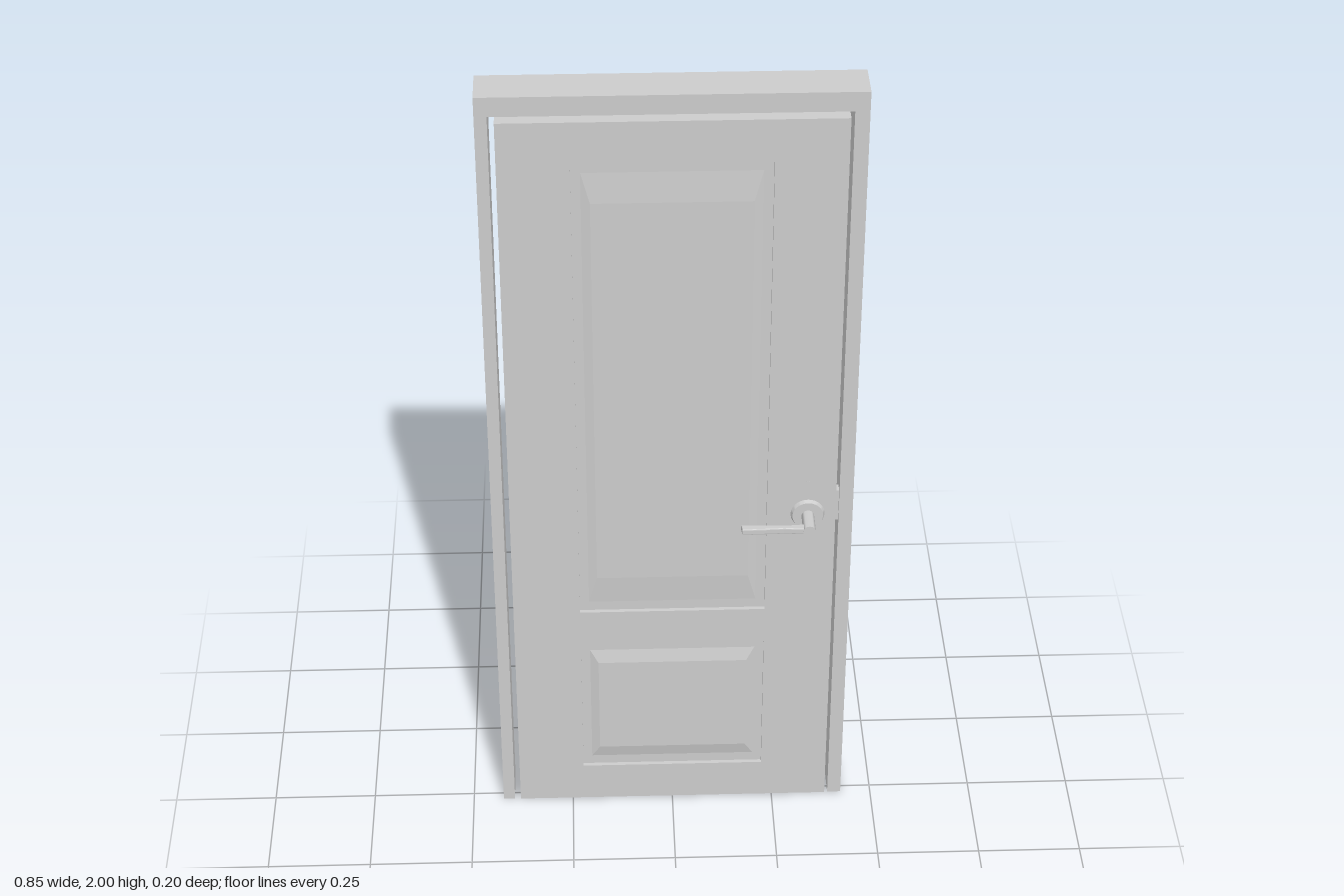
import * as THREE from 'three';
import { toCreasedNormals } from 'three/addons/utils/BufferGeometryUtils.js';

const mat = new THREE.MeshStandardMaterial({ color: 0xcccccc });

function add(parent, name, geo, x = 0, y = 0, z = 0) {
  const m = new THREE.Mesh(geo, mat);
  m.name = name;
  m.position.set(x, y, z);
  parent.add(m);
  return m;
}

function rect(Path, x0, y0, x1, y1) {
  const p = new Path();
  p.moveTo(x0, y0);
  p.lineTo(x1, y0);
  p.lineTo(x1, y1);
  p.lineTo(x0, y1);
  p.closePath();
  return p;
}

// Box whose +z end shrinks to w1 x h1, giving a bevelled panel field
function bevelBlock(w0, h0, w1, h1, d) {
  const g = new THREE.BoxGeometry(w0, h0, d).toNonIndexed();
  const p = g.attributes.position;
  for (let i = 0; i < p.count; i++) {
    if (p.getZ(i) > 0) p.setXY(i, Math.sign(p.getX(i)) * w1 / 2, Math.sign(p.getY(i)) * h1 / 2);
  }
  g.computeVertexNormals();
  return g;
}

const cyl = (r0, r1, h, n = 32) =>
  toCreasedNormals(new THREE.CylinderGeometry(r0, r1, h, n).rotateX(Math.PI / 2), 0.6);

const CORE = 0.017, FACE = 0.027;
const LEAF = { x0: -0.382, x1: 0.384, y0: 0.004, y1: 1.94 };
const PANELS = [
  { name: 'upperPanel', y0: 0.6, y1: 1.835, insetY: 0.1, rise: 0.005 },
  { name: 'lowerPanel', y0: 0.11, y1: 0.5, insetY: 0.06, rise: 0.008 },
];
const PW = 0.222;

// One side of the leaf: stiles and rails around recessed panels
function leafSide(name) {
  const g = new THREE.Group();
  g.name = name;
  const s = rect(THREE.Shape, LEAF.x0, LEAF.y0, LEAF.x1, LEAF.y1);
  for (const p of PANELS) s.holes.push(rect(THREE.Path, -PW, p.y0, PW, p.y1));
  add(g, 'stilesAndRails', new THREE.ExtrudeGeometry(s, { depth: FACE - CORE, bevelEnabled: false }), 0, 0, CORE);
  for (const p of PANELS) {
    const h = p.y1 - p.y0;
    const geo = bevelBlock(0.4, h - 0.05, 0.36, h - 2 * p.insetY, p.rise);
    add(g, p.name, geo, 0, (p.y0 + p.y1) / 2, CORE + p.rise / 2);
  }
  return g;
}

// Lever handle set, pointing +z from the leaf face
function handle(name) {
  const g = new THREE.Group();
  g.name = name;
  add(g, 'rosette', cyl(0.036, 0.04, 0.009, 40), 0, 0, FACE + 0.0045).rotation.z = Math.PI / 2;
  add(g, 'neck', cyl(0.015, 0.015, 0.072), 0, 0, 0.063);
  // Lever slims toward the middle and has a small returned tip
  const lever = new THREE.Shape();
  lever.moveTo(0, 0.099);
  lever.lineTo(-0.06, 0.095);
  lever.lineTo(-0.157, 0.098);
  lever.lineTo(-0.159, 0.078);
  lever.lineTo(-0.152, 0.079);
  lever.lineTo(-0.06, 0.082);
  lever.lineTo(0, 0.078);
  lever.closePath();
  const geo = new THREE.ExtrudeGeometry(lever, {
    depth: 0.01, bevelEnabled: true, bevelSize: 0.002, bevelOffset: -0.002, bevelThickness: 0.003, bevelSegments: 2,
  });
  geo.rotateX(Math.PI / 2);
  add(g, 'lever', geo, 0, 0.005, 0);
  return g;
}

export function createModel() {
  const model = new THREE.Group();
  model.name = 'door';

  // Frame: two jambs and a head, open at the floor
  const f = new THREE.Shape();
  [[-0.425, 0], [-0.397, 0], [-0.397, 1.953], [0.392, 1.953], [0.392, 0], [0.425, 0], [0.425, 2], [-0.425, 2]]
    .forEach(([x, y], i) => (i ? f.lineTo(x, y) : f.moveTo(x, y)));
  f.closePath();
  add(model, 'doorFrame', new THREE.ExtrudeGeometry(f, { depth: 0.1, bevelEnabled: false }), 0, 0, -0.079);

  // Leaf core with a panelled skin on both sides
  const leaf = new THREE.Group();
  leaf.name = 'doorLeaf';
  model.add(leaf);
  const w = LEAF.x1 - LEAF.x0, h = LEAF.y1 - LEAF.y0;
  const cx = (LEAF.x0 + LEAF.x1) / 2, cy = (LEAF.y0 + LEAF.y1) / 2;
  add(leaf, 'leafCore', new THREE.BoxGeometry(w, h, CORE * 2), cx, cy, 0);
  leaf.add(leafSide('frontFace'));
  const back = leafSide('backFace');
  back.rotation.y = Math.PI;
  back.position.x = cx * 2;
  for (const c of back.children) if (c.name !== 'stilesAndRails') c.position.x = 0;
  leaf.add(back);

  // Handles: the back one is the front one turned over about the lever axis
  const front = handle('frontHandle');
  front.position.set(0.318, 0.885, 0);
  const rear = handle('backHandle');
  rear.position.set(0.318, 0.885, 0);
  rear.rotation.x = Math.PI;
  model.add(front, rear);

  // Keyhole covers and latch plate
  for (const s of [1, -1]) add(model, 'keyholeCover', cyl(0.005, 0.005, 0.002, 16), 0.318, 0.975, s * FACE);
  add(model, 'latchPlate', new THREE.BoxGeometry(0.008, 0.085, 0.024), 0.388, 0.897, 0);

  return model;
}
